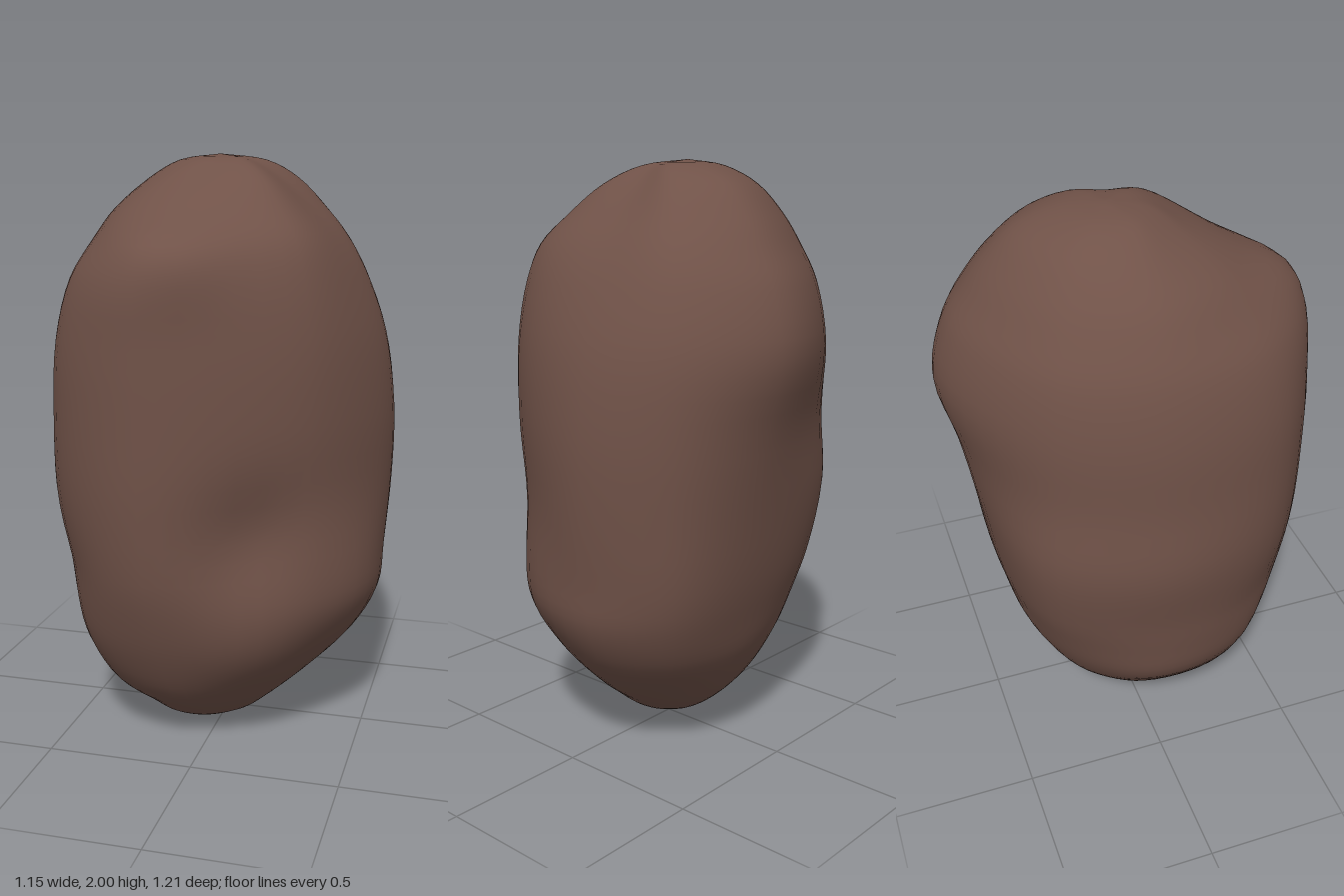
import * as THREE from 'three';
import { mergeVertices } from 'three/addons/utils/BufferGeometryUtils.js';

// Rib directions in degrees, from +x round through +z
const ANGLES = [-8, 46, 103, 138, 181, 225, 279, 317];

// Each row: height, then the radius of each rib
const LEVELS = [
  [0.03, 0.07, 0.11, 0.18, 0.23, 0.19, 0.12, 0.07, 0.06],
  [0.10, 0.18, 0.21, 0.29, 0.32, 0.27, 0.21, 0.19, 0.18],
  [0.20, 0.31, 0.31, 0.40, 0.44, 0.36, 0.31, 0.29, 0.30],
  [0.35, 0.46, 0.42, 0.49, 0.53, 0.47, 0.40, 0.385, 0.45],
  [0.50, 0.54, 0.49, 0.55, 0.575, 0.505, 0.46, 0.43, 0.53],
  [0.65, 0.555, 0.51, 0.59, 0.60, 0.53, 0.51, 0.465, 0.57],
  [0.90, 0.575, 0.51, 0.615, 0.63, 0.575, 0.555, 0.505, 0.595],
  [1.15, 0.575, 0.525, 0.62, 0.635, 0.56, 0.54, 0.55, 0.61],
  [1.40, 0.535, 0.52, 0.62, 0.62, 0.55, 0.54, 0.61, 0.60],
  [1.60, 0.455, 0.485, 0.61, 0.565, 0.51, 0.505, 0.565, 0.54],
  [1.72, 0.38, 0.435, 0.55, 0.48, 0.455, 0.45, 0.495, 0.475],
  [1.82, 0.29, 0.34, 0.38, 0.385, 0.39, 0.39, 0.425, 0.39],
  [1.92, 0.18, 0.22, 0.20, 0.235, 0.28, 0.30, 0.325, 0.28],
  [1.98, 0.08, 0.09, 0.08, 0.11, 0.17, 0.19, 0.18, 0.15],
];
const BOTTOM = new THREE.Vector3(-0.1, 0, 0.07);
const TOP = new THREE.Vector3(-0.04, 2, -0.05);

// Soft hollows and swellings: centre, spread, depth (negative is a hollow)
const DENTS = [
  { at: new THREE.Vector3(0.19, 0.78, 0.48), spread: 0.18, depth: -0.055 },
  { at: new THREE.Vector3(0.5, 0.58, 0.17), spread: 0.18, depth: 0.025 },
  { at: new THREE.Vector3(0.17, 0.36, 0.4), spread: 0.17, depth: 0.025 },
  { at: new THREE.Vector3(-0.44, 0.62, 0.38), spread: 0.15, depth: -0.015 },
  { at: new THREE.Vector3(0.0, 1.69, 0.56), spread: 0.13, depth: 0.03 },
];

function stoneGeometry(rows, sides) {
  // Ribs from the bottom tip to the top
  const ribs = ANGLES.map((degrees, k) => {
    const a = THREE.MathUtils.degToRad(degrees);
    const points = LEVELS.map((l) => new THREE.Vector3(l[k + 1] * Math.cos(a), l[0], l[k + 1] * Math.sin(a)));
    return new THREE.CatmullRomCurve3([BOTTOM, ...points, TOP]);
  });

  const positions = [];
  const index = [];
  for (let j = 0; j <= rows; j++) {
    // Smooth closed ring through the ribs
    const ring = new THREE.CatmullRomCurve3(ribs.map((r) => r.getPoint(j / rows)), true);
    for (let i = 0; i < sides; i++) {
      const p = j === 0 ? BOTTOM.clone() : j === rows ? TOP.clone() : ring.getPoint(i / sides);
      const out = new THREE.Vector3(p.x, 0, p.z).normalize();
      const push = DENTS.reduce((s, d) => s + d.depth * Math.exp(-p.distanceToSquared(d.at) / (d.spread * d.spread)), 0);
      p.addScaledVector(out, push);
      positions.push(p.x, p.y, p.z);
      if (j < rows) {
        const a = j * sides + i;
        const b = j * sides + ((i + 1) % sides);
        index.push(a, a + sides, b, b, a + sides, b + sides);
      }
    }
  }
  const geometry = new THREE.BufferGeometry();
  geometry.setAttribute('position', new THREE.Float32BufferAttribute(positions, 3));
  geometry.setIndex(index);
  const merged = mergeVertices(geometry, 1e-5);
  merged.computeVertexNormals();
  return merged;
}

export function createModel() {
  const group = new THREE.Group();
  group.name = 'stone';
  const brown = new THREE.MeshStandardMaterial({ color: 0x705248 });
  brown.name = 'earthBrown';
  const body = new THREE.Mesh(stoneGeometry(60, 56), brown);
  body.name = 'stoneBody';
  group.add(body);
  return group;
}
